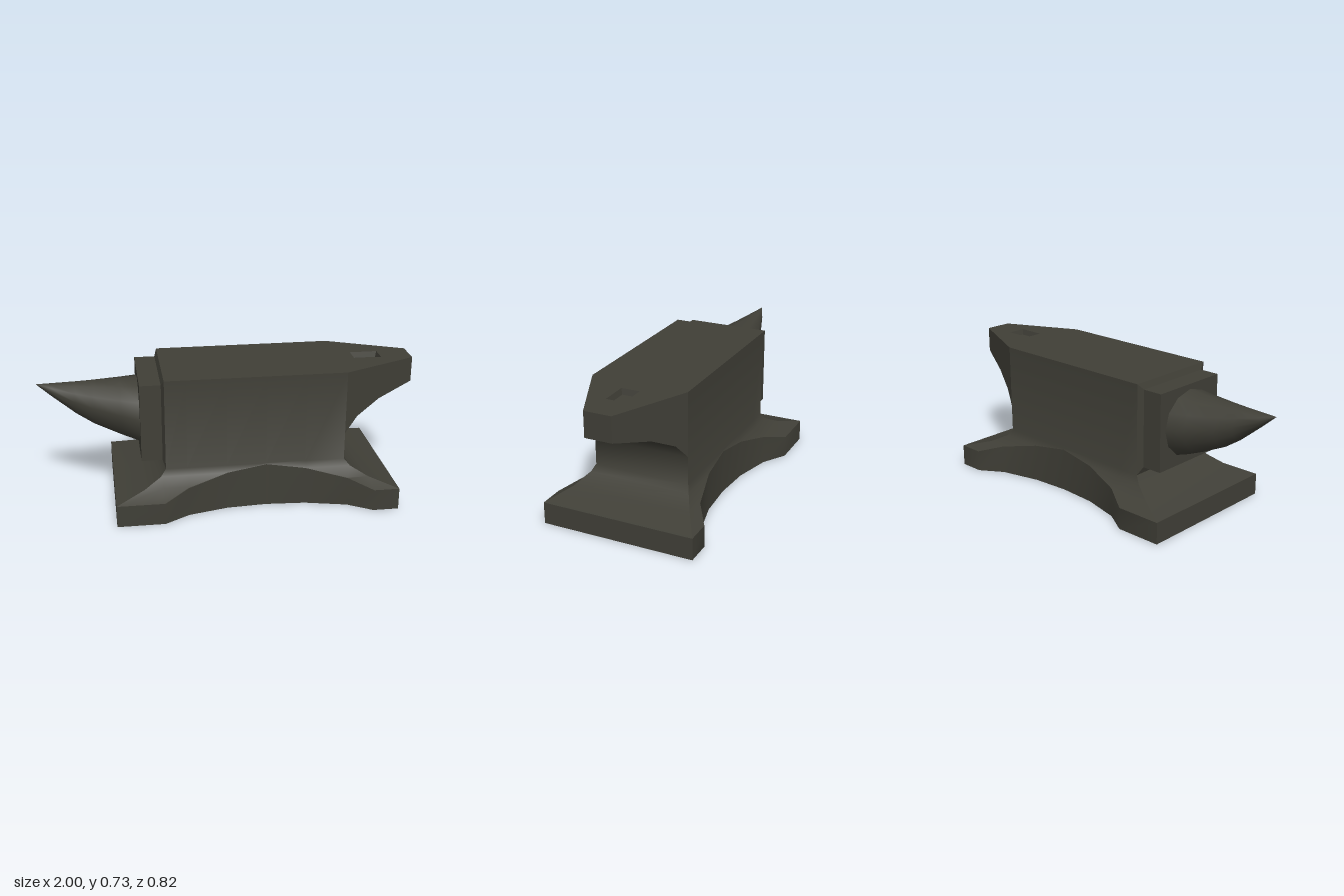
import * as THREE from 'three';
import { toCreasedNormals } from 'three/addons/utils/BufferGeometryUtils.js';

const TOP = 0.73, HEEL_X = 0.6, TIP_Z = 0.073, BODY_Z = 0.26;

// Flare from foot to waist: left x, right x, half depth, height
const FLARE = [
  [-0.62, 0.87, 0.41, 0.117],
  [-0.47, 0.72, 0.325, 0.16],
  [-0.38, 0.63, 0.277, 0.207],
  [-0.352, 0.6, BODY_Z, 0.243],
];
// Foot outline: x, half depth
const FOOT = [
  [-0.62, 0.41], [-0.37, 0.41], [-0.24, 0.33], [-0.03, 0.277], [0.18, 0.263],
  [0.39, 0.277], [0.61, 0.33], [0.735, 0.41], [0.87, 0.41],
];
// Underside of the heel: x, y
const HEEL = [[HEEL_X, 0.39], [0.67, 0.47], [0.8, 0.54], [1, 0.595]];

const lerp = THREE.MathUtils.lerp;
const heelZ = (x) => lerp(BODY_Z, TIP_Z, (x - HEEL_X) / (1 - HEEL_X));

// Half depth of the foot at x
function footZ(x) {
  for (let i = 0; i < FOOT.length - 1; i++) {
    const [x0, z0] = FOOT[i], [x1, z1] = FOOT[i + 1];
    if (x <= x1) return lerp(z0, z1, (x - x0) / (x1 - x0));
  }
  return FOOT.at(-1)[1];
}

// Height of the flare at depth z
function flareY(z) {
  for (let i = 0; i < FLARE.length - 1; i++) {
    const [, , z0, y0] = FLARE[i], [, , z1, y1] = FLARE[i + 1];
    if (z >= z1) return lerp(y0, y1, (z0 - z) / (z0 - z1));
  }
  return FLARE.at(-1)[3];
}

// Collects quads, corners counter-clockwise from outside
class Surface {
  constructor() { this.pos = []; }
  tri(a, b, c) {
    const [A, B, C] = [a, b, c].map((p) => new THREE.Vector3(...p));
    if (B.sub(A).cross(C.sub(A)).length() > 1e-8) this.pos.push(...a, ...b, ...c);
  }
  quad(a, b, c, d) { this.tri(a, b, c); this.tri(a, c, d); }
  mirrored(...q) {
    this.quad(...q);
    this.quad(...q.map(([x, y, z]) => [x, y, -z]).reverse());
  }
  // Joins consecutive closed loops
  loft(loops) {
    for (let i = 0; i < loops.length - 1; i++) {
      const A = loops[i], B = loops[i + 1], n = A.length;
      for (let j = 0; j < n; j++) this.quad(A[j], A[(j + 1) % n], B[(j + 1) % n], B[j]);
    }
  }
  build(creaseDegrees) {
    const g = new THREE.BufferGeometry();
    g.setAttribute('position', new THREE.Float32BufferAttribute(this.pos, 3));
    return toCreasedNormals(g, THREE.MathUtils.degToRad(creaseDegrees));
  }
}

export function createModel() {
  const group = new THREE.Group();
  const iron = new THREE.MeshStandardMaterial({ color: 0x403f37 });
  iron.name = 'dark iron';
  const add = (name, geometry) => {
    const mesh = new THREE.Mesh(geometry, iron);
    mesh.name = name;
    group.add(mesh);
    return mesh;
  };

  // Foot walls and underside
  const walls = new Surface();
  for (let i = 0; i < FOOT.length - 1; i++) {
    const [x0, z0] = FOOT[i], [x1, z1] = FOOT[i + 1];
    walls.mirrored([x0, 0, z0], [x1, 0, z1], [x1, flareY(z1), z1], [x0, flareY(z0), z0]);
  }
  const [fx0, fx1, fz, fy] = FLARE[0];
  walls.quad([fx1, 0, fz], [fx1, 0, -fz], [fx1, fy, -fz], [fx1, fy, fz]);
  walls.quad([fx0, 0, -fz], [fx0, 0, fz], [fx0, fy, fz], [fx0, fy, -fz]);
  add('footWalls', walls.build(48));

  const outline = [...FOOT, ...FOOT.map(([x, z]) => [x, -z]).reverse()];
  const toShape = (pts) => new THREE.Shape(pts.map((p) => new THREE.Vector2(...p)));
  add('footUnderside', new THREE.ShapeGeometry(toShape(outline)).rotateX(Math.PI / 2));

  // Long sides: flare, trimmed by the foot outline, running up into the body
  const sides = new Surface();
  const levels = [...FLARE, [-0.352, HEEL_X, BODY_Z, TOP]];
  const rows = levels.map(([x0, x1, z, y]) => FOOT.map(([s]) => {
    const x = THREE.MathUtils.clamp(s, x0, x1), w = footZ(x);
    return w < z ? [x, Math.max(y, flareY(w)), w] : [x, y, z];
  }));
  for (let i = 0; i < rows.length - 1; i++) {
    for (let j = 0; j < FOOT.length - 1; j++) {
      sides.mirrored(rows[i][j], rows[i][j + 1], rows[i + 1][j + 1], rows[i + 1][j]);
    }
  }
  add('bodySides', sides.build(46));

  // Heel end: flare, waist and curved underside as one smooth strip
  const strip = (profile, dir) => {
    const s = new Surface();
    for (let i = 0; i < profile.length - 1; i++) {
      const [x0, y0, z0] = profile[i], [x1, y1, z1] = profile[i + 1];
      s.quad([x0, y0, z0 * dir], [x0, y0, -z0 * dir], [x1, y1, -z1 * dir], [x1, y1, z1 * dir]);
    }
    return s.build(50);
  };
  add('heelUnderside', strip([
    ...FLARE.map(([, x, z, y]) => [x, y, z]),
    ...HEEL.map(([x, y]) => [x, y, heelZ(x)]),
  ], 1));
  add('hornEndFlare', strip(FLARE.map(([x, , z, y]) => [x, y, z]), -1));

  // Heel cheeks and blunt tip
  const heel = new Surface();
  for (let i = 0; i < HEEL.length - 1; i++) {
    const [x0, y0] = HEEL[i], [x1, y1] = HEEL[i + 1], z0 = heelZ(x0), z1 = heelZ(x1);
    heel.mirrored([x0, y0, z0], [x1, y1, z1], [x1, TOP, z1], [x0, TOP, z0]);
  }
  heel.quad([1, 0.595, TIP_Z], [1, 0.595, -TIP_Z], [1, TOP, -TIP_Z], [1, TOP, TIP_Z]);
  add('heelCheeks', heel.build(15));

  // Working face with a square tool hole
  const face = toShape([
    [-0.352, -BODY_Z], [HEEL_X, -BODY_Z], [1, -TIP_Z],
    [1, TIP_Z], [HEEL_X, BODY_Z], [-0.352, BODY_Z],
  ]);
  const holeLoop = (inset, y) => [[1, 1], [1, -1], [-1, -1], [-1, 1]].map(
    ([sx, sz]) => [0.762 + sx * (0.074 - inset), y, sz * (0.049 - inset)]);
  face.holes.push(new THREE.Path(holeLoop(0, 0).map(([x, , z]) => new THREE.Vector2(x, z))));
  add('workingFace', new THREE.ShapeGeometry(face).rotateX(-Math.PI / 2)).position.y = TOP;

  const hole = new Surface();
  const rim = holeLoop(0, TOP), floor = holeLoop(0.008, TOP - 0.03);
  hole.loft([floor, rim].map((l) => l.slice().reverse()));
  hole.quad(floor[0], floor[1], floor[2], floor[3]);
  add('toolHole', hole.build(20));

  // Chamfered step and block behind the horn
  const rect = (x, y0, y1, z) => [[x, y0, z], [x, y1, z], [x, y1, -z], [x, y0, -z]];
  const block = new Surface();
  const end = rect(-0.475, 0.28, 0.697, 0.225);
  block.loft([rect(-0.352, 0.243, TOP, BODY_Z), rect(-0.365, 0.28, 0.697, 0.225), end]);
  block.quad(...end);
  add('hornBlock', block.build(10));

  // Horn: x, underside y, upper y, half depth
  const hornSections = [
    [-0.475, 0.315, 0.669, 0.187], [-0.565, 0.352, 0.664, 0.155], [-0.71, 0.42, 0.658, 0.105],
    [-0.8, 0.48, 0.655, 0.075], [-0.92, 0.58, 0.652, 0.035], [-1, 0.65, 0.651, 0.001],
  ];
  const horn = new Surface();
  horn.loft(hornSections.map(([x, y0, y1, rz]) => Array.from({ length: 12 }, (_, j) => {
    const a = (j / 12) * Math.PI * 2;
    return [x, (y0 + y1) / 2 + Math.sin(a) * (y1 - y0) / 2, Math.cos(a) * rz];
  })));
  add('horn', horn.build(60));

  return group;
}
